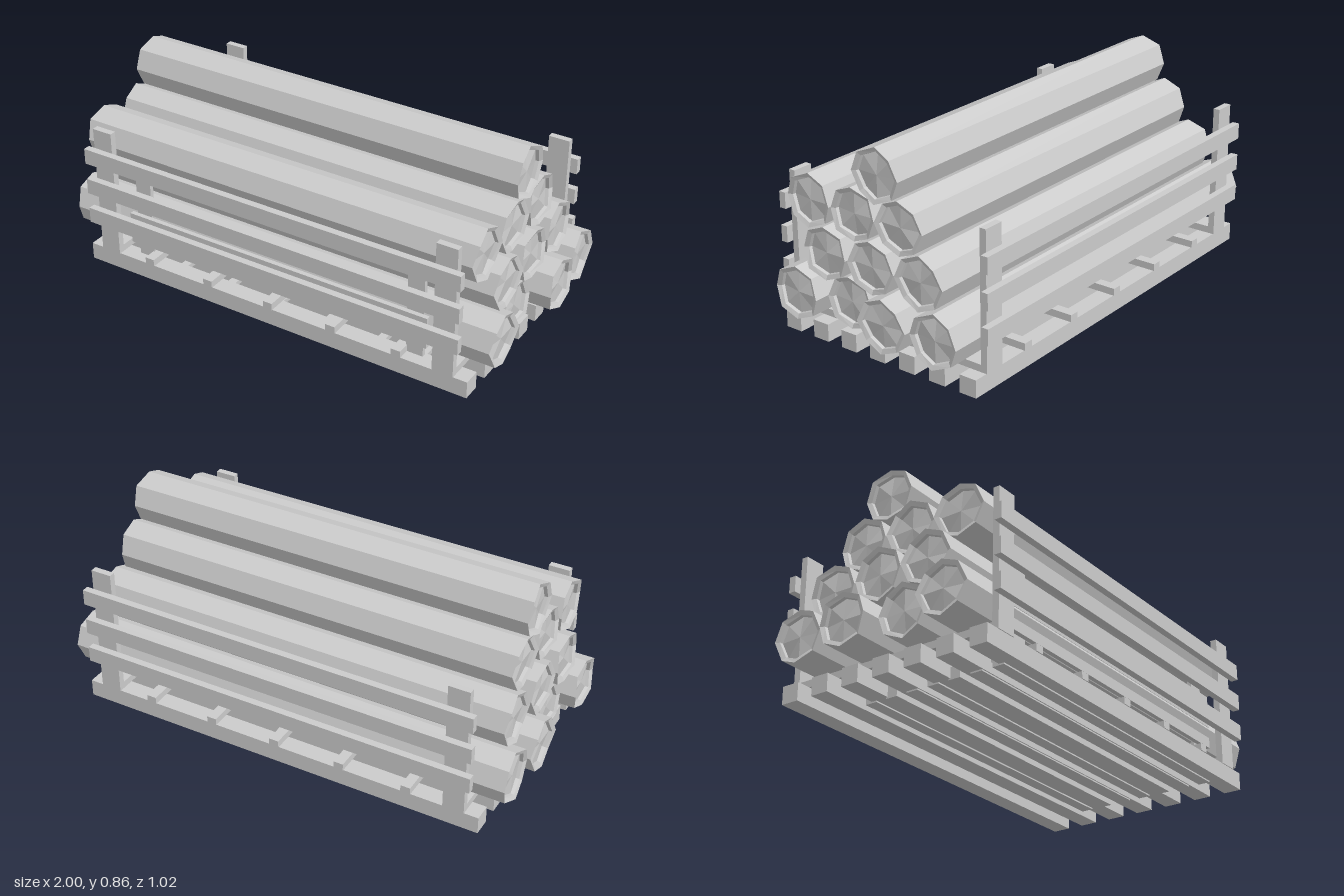
import * as THREE from 'three';

const material = new THREE.MeshStandardMaterial({ color: 0xcccccc, flatShading: true });

function addMesh(parent, name, geometry, x = 0, y = 0, z = 0) {
  const mesh = new THREE.Mesh(geometry, material);
  mesh.name = name;
  mesh.position.set(x, y, z);
  parent.add(mesh);
  return mesh;
}

// Box given by its centre x, width and y/z ranges
function addBeam(parent, name, x, width, y0, y1, z0, z1) {
  addMesh(parent, name, new THREE.BoxGeometry(width, y1 - y0, z1 - z0), x, (y0 + y1) / 2, (z0 + z1) / 2);
}

// Eight-sided log along x with recessed, unevenly cut ends
function logGeometry(radius, x0, x1, seed) {
  const inner = radius * 0.83;
  const depth = 0.022;
  const profile = [
    [0, x0 + depth], [inner * 0.98, x0 + depth], [inner, x0 + 0.008], [radius, x0],
    [radius, x1], [inner, x1 - 0.008], [inner * 0.98, x1 - depth], [0, x1 - depth],
  ].map(([r, x]) => new THREE.Vector2(r, x));
  const geometry = new THREE.LatheGeometry(profile, 8);
  const p = geometry.attributes.position;
  const middle = (x0 + x1) / 2;
  for (let i = 0; i < p.count; i++) {
    const r = Math.hypot(p.getX(i), p.getZ(i));
    if (r < inner * 0.9) continue;
    const a = Math.atan2(p.getX(i), p.getZ(i));
    const cut = 0.007 * (1 + Math.cos(3 * a + seed * 1.7));
    p.setY(i, p.getY(i) - Math.sign(p.getY(i) - middle) * cut);
  }
  geometry.rotateZ(-Math.PI / 2);
  return geometry;
}

// Timber rack: runners, cross slats, corner posts and side rails
function createRack() {
  const rack = new THREE.Group();
  for (let i = -3; i <= 3; i++) {
    const z = i * 0.1455;
    addBeam(rack, 'runner', 0, 1.79, 0.006, 0.08, z - 0.038, z + 0.038);
  }
  for (const x of [-0.587, -0.293, 0, 0.293, 0.587]) {
    addBeam(rack, 'crossSlat', x, 0.042, 0.08, 0.11, -0.478, 0.478);
  }
  for (const side of [-1, 1]) {
    addBeam(rack, 'endSlat', side * 0.79, 0.09, 0.08, 0.11, -0.45, 0.45);
    const z = side * 0.464;
    for (const x of [-0.79, 0.79]) {
      addBeam(rack, 'post', x, 0.09, 0.08, 0.65, z - 0.014, z + 0.014);
    }
    const railZ = side * 0.493;
    for (const y of [0.248, 0.387, 0.528]) {
      addBeam(rack, 'rail', 0, 1.73, y - 0.034, y + 0.034, railZ - 0.015, railZ + 0.015);
    }
  }
  return rack;
}

export function createModel() {
  const model = new THREE.Group();
  model.name = 'logStack';

  const outerRack = createRack();
  outerRack.name = 'outerRack';
  model.add(outerRack);

  // Smaller rack standing inside the large one
  const innerRack = createRack();
  innerRack.name = 'innerRack';
  innerRack.scale.set(0.81, 0.667, 0.667);
  innerRack.position.set(0, -0.004, 0.105);
  model.add(innerRack);

  // Large logs: y, z, left end, right end
  const logs = new THREE.Group();
  logs.name = 'largeLogs';
  [
    [0.22, 0.337, -0.99, 0.978], [0.22, 0.114, -0.93, 0.92],
    [0.22, -0.111, -1, 1], [0.22, -0.338, -0.985, 0.978],
    [0.395, 0.226, -0.945, 0.93], [0.395, 0.001, -0.94, 0.925], [0.395, -0.226, -0.93, 0.92],
    [0.57, 0.338, -0.9, 0.89], [0.57, 0.114, -0.9, 0.89], [0.57, -0.11, -0.9, 0.89],
    [0.747, 0.002, -0.897, 0.885],
  ].forEach(([y, z, x0, x1], i) => addMesh(logs, 'log', logGeometry(0.11, x0, x1, i), 0, y, z));
  model.add(logs);

  // Small logs lying in the inner rack
  const smallLogs = new THREE.Group();
  smallLogs.name = 'smallLogs';
  [[0.144, 0.28], [0.144, 0.105], [0.144, -0.075], [0.262, 0.19], [0.262, 0.02]]
    .forEach(([y, z], i) => addMesh(smallLogs, 'smallLog', logGeometry(0.073, -0.73, 0.73, i), 0, y, z));
  model.add(smallLogs);

  return model;
}
